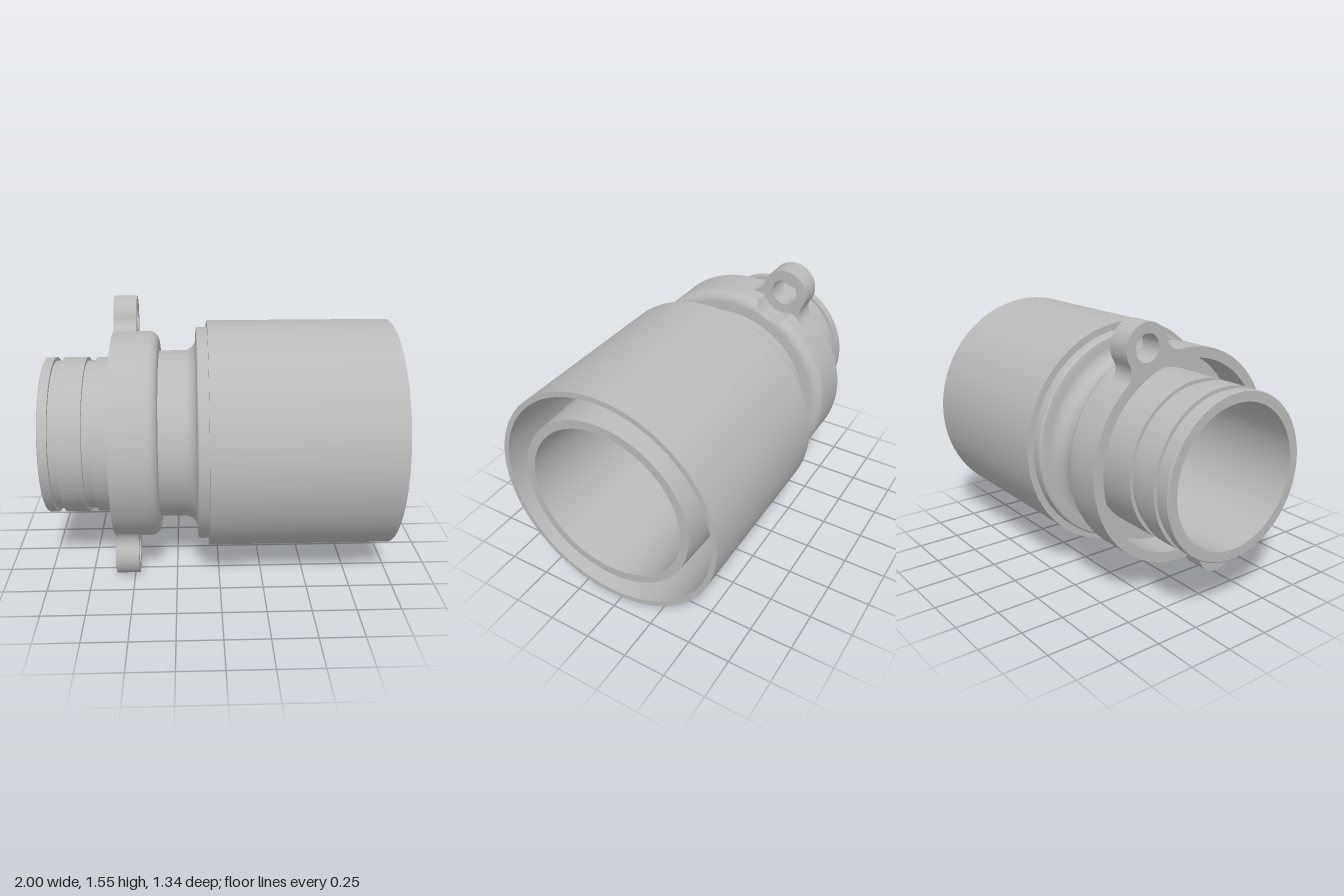
import * as THREE from 'three';
import { toCreasedNormals } from 'three/addons/utils/BufferGeometryUtils.js';

const AXIS_Y = 0.772;               // height of the pipe axis
const LUG_DIST = 0.695;             // lug hole distance from the axis
const LUG_R = 0.135, LUG_HOLE = 0.076;
const COLLAR_R = 0.61, FILLET = 0.085;
const LUG_DIR = new THREE.Vector3(0, 0.921, -0.389).normalize();

// Points [x, radius] of an arc, angles in quarter turns
function arc(cx, cr, rad, from, to, n = 10) {
  return Array.from({ length: n + 1 }, (_, i) => {
    const a = (from + (to - from) * i / n) * Math.PI / 2;
    return [cx + rad * Math.cos(a), cr + rad * Math.sin(a)];
  });
}

// Revolve a profile of [x, radius] points around the x axis
function revolve(profile, segments) {
  const g = new THREE.LatheGeometry(profile.map(([x, r]) => new THREE.Vector2(r, x)), segments);
  return g.rotateZ(-Math.PI / 2);
}

const smooth = g => toCreasedNormals(g, 0.5);

function bodyGeometry() {
  return smooth(revolve([
    // grooved spigot
    [-1, 0.40], [-1, 0.455], [-0.995, 0.46], [-0.945, 0.46], [-0.945, 0.44], [-0.895, 0.44],
    [-0.895, 0.46], [-0.76, 0.46], [-0.76, 0.44], [-0.705, 0.44], [-0.705, 0.46], [-0.38, 0.46],
    // neck, fillet and flange
    [-0.38, 0.495], ...arc(-0.2, 0.57, 0.075, -1, 0),
    ...arc(-0.11, 0.615, 0.015, 2, 1, 5), [-0.06, 0.63],
    // outer sleeve, tapered annular gap and tapered bore
    [-0.06, 0.67], [1, 0.67], [1, 0.64], [0, 0.59], [0, 0.545], [1, 0.51], [1, 0.46], [-1, 0.40],
  ], 128));
}

// Collar hollow on its left side, with a scooped clearance behind each lug
function collarGeometry() {
  const g = revolve([
    [-0.605, 0.55], [-0.605, COLLAR_R], [-0.47, COLLAR_R], [-0.469, COLLAR_R],
    ...arc(-0.40, 0.55, 0.06, 1, 0), [-0.34, 0.48],
    [-0.40, 0.45], [-0.40, 0.55], [-0.605, 0.55],
  ], 288);
  const p = g.attributes.position;
  for (let i = 0; i < p.count; i++) {
    const y = p.getY(i), z = p.getZ(i), r = Math.hypot(y, z);
    if (p.getX(i) < -0.4695) continue;
    const along = Math.abs(y * LUG_DIR.y + z * LUG_DIR.z) / r;
    const side = LUG_DIST * Math.sqrt(Math.max(0, 1 - along * along));
    if (side >= LUG_R) continue;
    const limit = LUG_DIST * along - Math.sqrt(LUG_R * LUG_R - side * side);
    if (limit > 0 && limit < r) p.setXYZ(i, p.getX(i), y * limit / r, z * limit / r);
  }
  return smooth(g);
}

// Round lug with a bolt hole, blended into the collar by fillets
function lugGeometry() {
  const A = COLLAR_R + FILLET, B = LUG_R + FILLET;
  const phi = Math.acos((A * A + LUG_DIST * LUG_DIST - B * B) / (2 * A * LUG_DIST));
  const fx = A * Math.sin(phi), fy = A * Math.cos(phi);
  const tilt = Math.atan2(fy - LUG_DIST, fx);
  const s = new THREE.Shape();
  s.absarc(fx, fy, FILLET, Math.atan2(-fy, -fx) + 2 * Math.PI, Math.PI + tilt, true);
  s.absarc(0, LUG_DIST, LUG_R, tilt, Math.PI - tilt, false);
  s.absarc(-fx, fy, FILLET, -tilt, Math.atan2(-fy, fx), true);
  s.absarc(0, 0, 0.56, Math.PI / 2 + phi, Math.PI / 2 - phi, true);
  s.closePath();
  const hole = new THREE.Path();
  hole.absarc(0, LUG_DIST, LUG_HOLE, 0, Math.PI * 2, true);
  s.holes.push(hole);
  const g = new THREE.ExtrudeGeometry(s, { depth: 0.135, bevelEnabled: false, curveSegments: 32 });
  const xAxis = new THREE.Vector3(1, 0, 0);
  const side = new THREE.Vector3().crossVectors(LUG_DIR, xAxis);
  g.applyMatrix4(new THREE.Matrix4().makeBasis(side, LUG_DIR, xAxis));
  return smooth(g.translate(-0.605, 0, 0));
}

export function createModel() {
  const grey = new THREE.MeshStandardMaterial({ color: 0xbababa });
  grey.name = 'plain grey';
  const model = new THREE.Group();
  model.name = 'pipeCoupling';
  const add = (name, geometry) => {
    const m = new THREE.Mesh(geometry, grey);
    m.name = name;
    m.position.y = AXIS_Y;
    model.add(m);
    return m;
  };
  add('pipeBody', bodyGeometry());
  add('collar', collarGeometry());
  const lug = lugGeometry();
  add('upperLug', lug);
  add('lowerLug', lug).rotation.x = Math.PI;
  return model;
}
